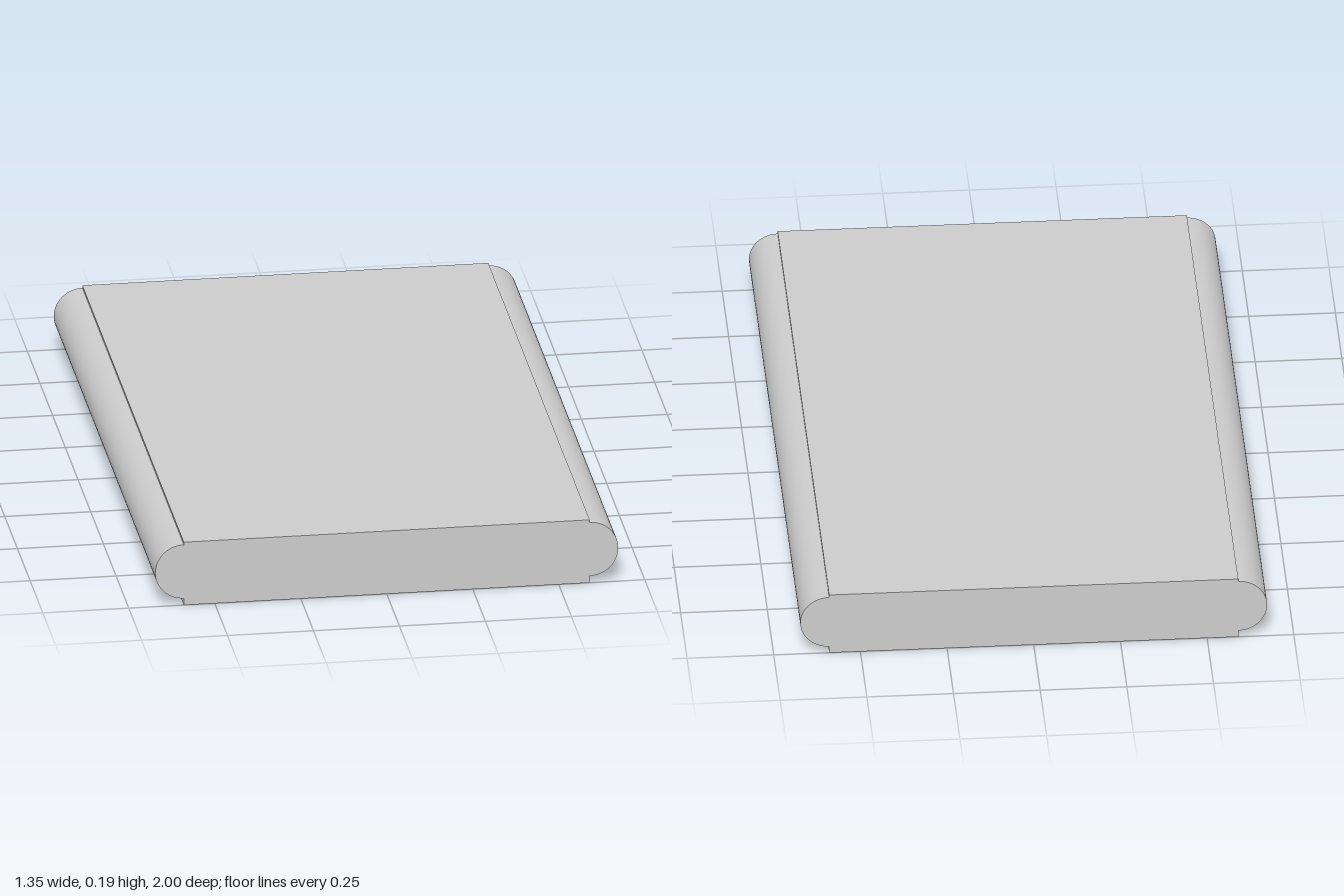
import * as THREE from 'three';

export function createModel() {
  const model = new THREE.Group();
  const material = new THREE.MeshStandardMaterial({ color: 0xcccccc });
  const length = 2, halfWidth = 0.59, height = 0.195;
  const radius = 0.083, edgeY = 0.104;

  // Flat main slab
  const slab = new THREE.Mesh(new THREE.BoxGeometry(halfWidth * 2, height, length), material);
  slab.name = 'slab';
  slab.position.y = height / 2;
  model.add(slab);

  // Half-round edge along each long side, slightly thinner than the slab
  for (const side of [1, -1]) {
    const geometry = new THREE.CylinderGeometry(
      radius, radius, length, 32, 1, false, side > 0 ? 0 : Math.PI, Math.PI);
    geometry.rotateX(Math.PI / 2);
    const edge = new THREE.Mesh(geometry, material);
    edge.name = side > 0 ? 'leftRoundedEdge' : 'rightRoundedEdge';
    edge.position.set(side * halfWidth, edgeY, 0);
    model.add(edge);
  }

  return model;
}
